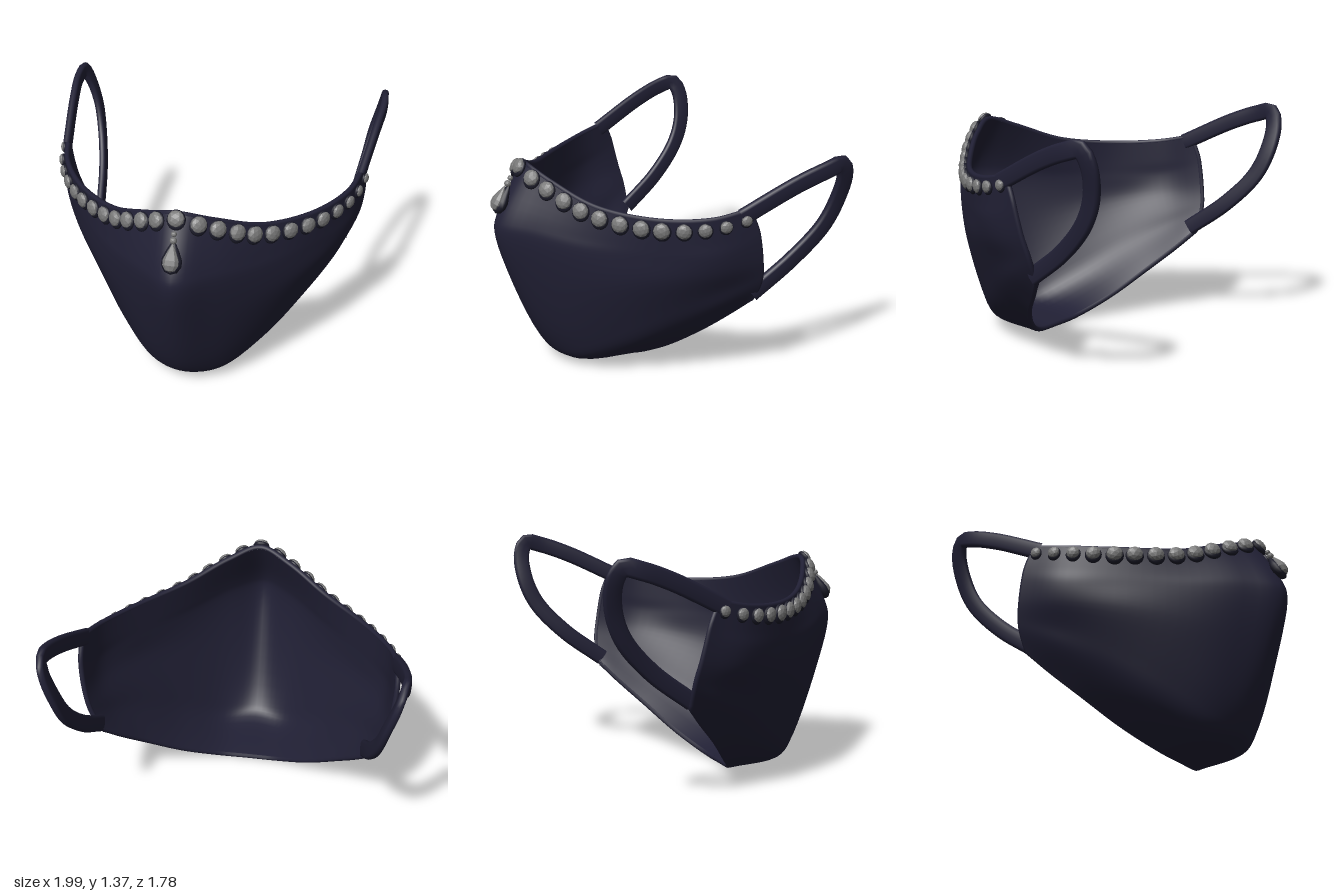
import * as THREE from 'three';
import { toCreasedNormals } from 'three/addons/utils/BufferGeometryUtils.js';

const V = (x, y, z) => new THREE.Vector3(x, y, z);
const fabric = new THREE.MeshStandardMaterial({ color: 0x212035 });
fabric.name = 'navy fabric';
const setting = new THREE.MeshStandardMaterial({ color: 0x1a1a28 });
setting.name = 'dark setting';
const stone = new THREE.MeshStandardMaterial({ color: 0x777777, flatShading: true });
stone.name = 'grey stone';

// Half rows of the cloth from the lower hem to the upper hem, centre to side
const rows = [
  [[0, 0, .15], [.18, .012, .135], [.4, .12, .02], [.6, .285, -.13], [.73, .43, -.27], [.81, .53, -.355]],
  [[0, .045, .52], [.2, .06, .46], [.43, .2, .28], [.64, .39, .04], [.78, .53, -.17], [.86, .63, -.36]],
  [[0, .14, .61], [.2, .18, .55], [.44, .34, .37], [.68, .52, .09], [.815, .63, -.15], [.885, .7, -.355]],
  [[0, .58, .8], [.2, .58, .69], [.44, .63, .49], [.7, .7, .19], [.855, .75, -.09], [.91, .8, -.335]],
  [[0, .88, .88], [.2, .88, .745], [.445, .85, .51], [.705, .84, .205], [.87, .86, -.06], [.925, .92, -.31]],
  [[0, .97, .86], [.2, .97, .725], [.44, .93, .5], [.7, .93, .215], [.867, .95, -.05], [.928, 1, -.29]],
  [[0, 1.265, .695], [.2, 1.2, .62], [.44, 1.1, .46], [.7, 1.065, .215], [.865, 1.08, -.04], [.92, 1.12, -.24]],
].map(half => {
  const right = half.map(p => V(...p));
  const left = right.slice(1).reverse().map(p => V(-p.x, p.y, p.z));
  return new THREE.CatmullRomCurve3([...left, ...right]);
});

// Point on the cloth: u runs from -x to +x, v from bottom to top
function surface(u, v) {
  return new THREE.CatmullRomCurve3(rows.map(r => r.getPoint(u))).getPoint(v);
}

function normalAt(u, v) {
  const e = 0.01, c = t => Math.min(1, Math.max(0, t));
  const du = surface(c(u + e), v).sub(surface(c(u - e), v));
  const dv = surface(u, c(v + e)).sub(surface(u, c(v - e)));
  return du.cross(dv).normalize();
}

// Cloth shell with thickness, plus the points running round its rim
function makeShell(nu, nv, thick) {
  const pos = [], index = [], mid = [];
  const count = (nu + 1) * (nv + 1);
  const inner = [];
  for (let j = 0; j <= nv; j++) {
    for (let i = 0; i <= nu; i++) {
      const p = surface(i / nu, j / nv), n = normalAt(i / nu, j / nv);
      pos.push(p.x, p.y, p.z);
      mid.push(p.clone().addScaledVector(n, -thick / 2));
      p.addScaledVector(n, -thick);
      inner.push(p.x, p.y, p.z);
    }
  }
  const at = (i, j) => j * (nu + 1) + i;
  const quad = (a, b, c, d) => index.push(a, b, c, a, c, d);
  for (let j = 0; j < nv; j++) {
    for (let i = 0; i < nu; i++) {
      const a = at(i, j), b = at(i + 1, j), c = at(i + 1, j + 1), d = at(i, j + 1);
      quad(a, b, c, d);
      quad(d + count, c + count, b + count, a + count);
    }
  }
  const rim = [];
  for (let i = 0; i < nu; i++) rim.push(at(i, 0));
  for (let j = 0; j < nv; j++) rim.push(at(nu, j));
  for (let i = nu; i > 0; i--) rim.push(at(i, nv));
  for (let j = nv; j > 0; j--) rim.push(at(0, j));
  rim.forEach((p, k) => {
    const q = rim[(k + 1) % rim.length];
    quad(q, p, p + count, q + count);
  });
  const geo = new THREE.BufferGeometry();
  geo.setAttribute('position', new THREE.Float32BufferAttribute(pos.concat(inner), 3));
  geo.setIndex(index);
  return { geo: toCreasedNormals(geo, 0.8), rim: rim.map(k => mid[k]) };
}

// Flat elastic strap: rounded section swept along a path, wide side facing x
function makeStrap(points, halfWidth, halfThick) {
  const curve = new THREE.CatmullRomCurve3(points);
  const steps = 48, sides = 12, pos = [], index = [];
  const soft = x => Math.sign(x) * Math.pow(Math.abs(x), 0.6);
  for (let s = 0; s <= steps; s++) {
    const p = curve.getPointAt(s / steps), t = curve.getTangentAt(s / steps);
    const w = t.clone().cross(V(1, 0, 0)).normalize();
    const n = t.clone().cross(w).normalize();
    for (let k = 0; k < sides; k++) {
      const a = k / sides * Math.PI * 2;
      const q = p.clone().addScaledVector(w, soft(Math.cos(a)) * halfWidth)
        .addScaledVector(n, soft(Math.sin(a)) * halfThick);
      pos.push(q.x, q.y, q.z);
      if (s < steps) {
        const a0 = s * sides + k, b0 = s * sides + (k + 1) % sides;
        index.push(a0, b0, b0 + sides, a0, b0 + sides, a0 + sides);
      }
    }
  }
  const geo = new THREE.BufferGeometry();
  geo.setAttribute('position', new THREE.Float32BufferAttribute(pos, 3));
  geo.setIndex(index);
  geo.computeVertexNormals();
  return geo;
}

function add(parent, name, geo, mat) {
  const mesh = new THREE.Mesh(geo, mat);
  mesh.name = name;
  parent.add(mesh);
  return mesh;
}

const stoneGeo = new THREE.IcosahedronGeometry(1, 1);
const settingGeo = new THREE.SphereGeometry(1, 14, 10);

// Faceted stone sitting in a dark cup, pointing along the cloth normal
function makeStone(u, v, r) {
  const g = new THREE.Group();
  g.name = 'trimStone';
  const n = normalAt(u, v);
  g.position.copy(surface(u, v)).addScaledVector(n, 0.008);
  g.quaternion.setFromUnitVectors(V(0, 0, 1), n);
  const cup = add(g, 'stoneSetting', settingGeo, setting);
  cup.scale.set(r * 1.12, r * 1.2, r * 0.5);
  cup.position.y = -r * 0.15;
  const gem = add(g, 'stone', stoneGeo, stone);
  gem.scale.set(r, r, r * 0.55);
  gem.position.z = r * 0.25;
  gem.rotation.z = u * 40;
  return g;
}

export function createModel() {
  const model = new THREE.Group();
  model.name = 'faceMask';

  // Cloth and piped hem
  const shell = makeShell(56, 32, 0.03);
  add(model, 'maskCloth', shell.geo, fabric);
  const hem = new THREE.CatmullRomCurve3(shell.rim, true);
  add(model, 'hem', new THREE.TubeGeometry(hem, 220, 0.016, 8, true), fabric);

  // Ear loops; the lower strands lean inwards by slightly different amounts
  for (const [side, lean] of [[1, -0.02], [-1, 0.035]]) {
    const path = [[.9, 1.085, -.2], [.95, 1.24, -.52], [.972, 1.305, -.7], [.965, 1.322, -.79],
      [.945, 1.25, -.828], [.9, 1.09, -.818], [.868, .93, -.75], [.825, .745, -.58], [.79, .565, -.34]]
      .map(([x, y, z], i) => V(side * (x - lean * i / 8), y, z));
    add(model, side > 0 ? 'leftEarLoop' : 'rightEarLoop', makeStrap(path, 0.05, 0.023), fabric);
  }

  // Row of stones along the upper hem, evenly spaced from the centre
  const trim = new THREE.Group();
  trim.name = 'stoneTrim';
  model.add(trim);
  const each = 12;
  const rowAt = du => 0.987 - 0.042 * Math.min(1, du / 0.3);
  const samples = Array.from({ length: 201 }, (_, k) => surface(0.5 + k / 400, rowAt(k / 400)));
  const lengths = [0];
  for (let k = 1; k <= 200; k++) lengths.push(lengths[k - 1] + samples[k].distanceTo(samples[k - 1]));
  for (let b = 0; b <= each; b++) {
    const target = b / each * (lengths[200] - 0.04);
    const du = lengths.findIndex(l => l >= target) / 400;
    const r = b < 9 ? 0.047 : 0.047 - (b - 8) * 0.004;
    trim.add(makeStone(0.5 + du, rowAt(du), r));
    if (b > 0) trim.add(makeStone(0.5 - du, rowAt(du), r));
  }

  // Drop pendant at the centre, lying along the slope of the nose
  const pendant = new THREE.Group();
  pendant.name = 'pendant';
  pendant.position.set(0, 1.05, 0.84);
  pendant.rotation.x = -0.52;
  model.add(pendant);
  const profile = [[0, -.055], [.028, -.045], [.045, -.018], [.045, .01], [.03, .045], [.012, .08], [0, .1]]
    .map(p => new THREE.Vector2(...p));
  const back = add(pendant, 'dropSetting', new THREE.LatheGeometry(profile, 16), setting);
  back.scale.set(1.25, 1.25, 0.8);
  const drop = add(pendant, 'dropStone', new THREE.LatheGeometry(profile, 10), stone);
  drop.scale.z = 0.7;
  drop.position.z = 0.022;
  for (const [y, r] of [[.115, .02], [.15, .016]]) {
    const link = add(pendant, 'linkStone', stoneGeo, stone);
    link.scale.set(r, r, r);
    link.position.set(0, y, 0.012);
  }
  return model;
}
